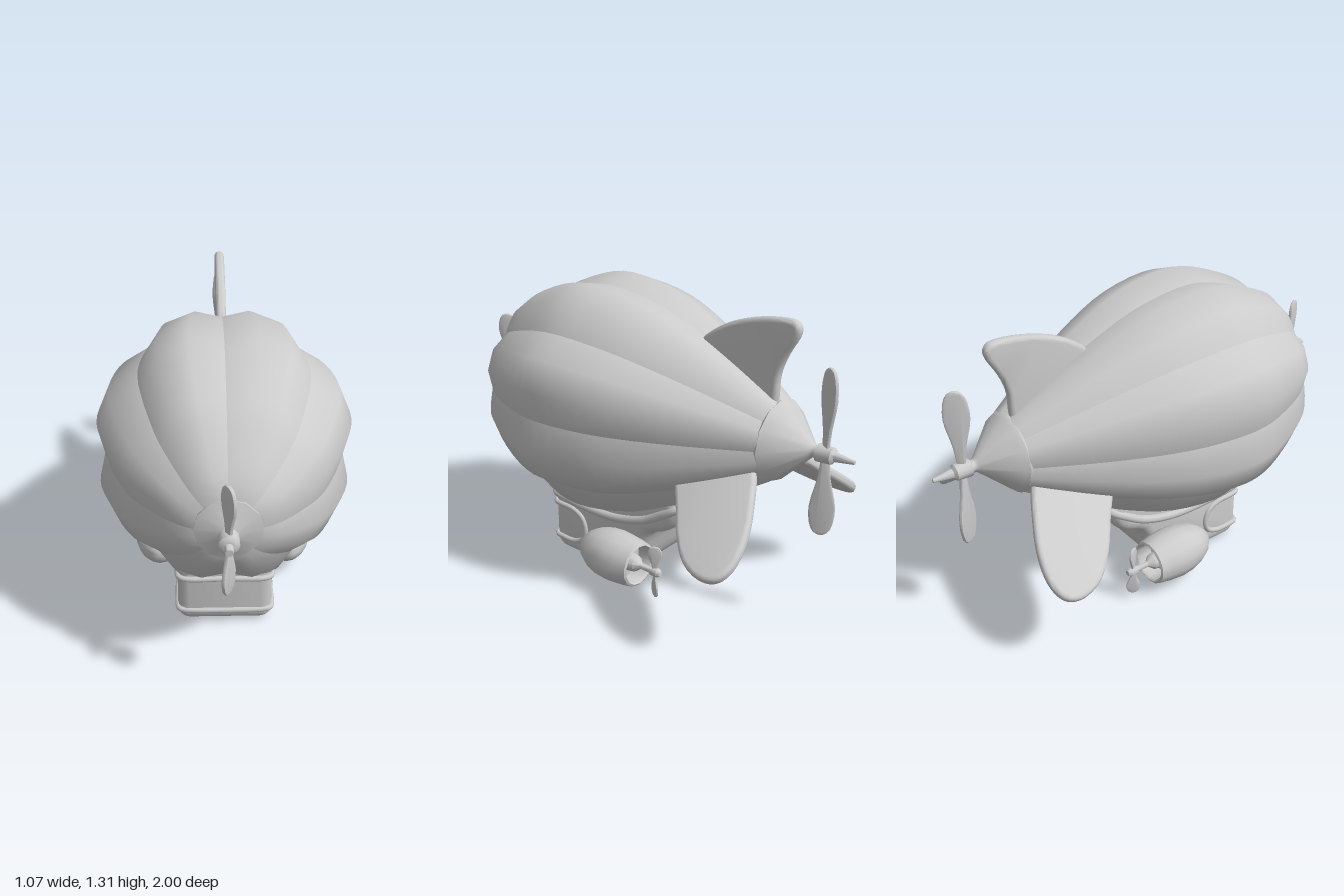
import * as THREE from 'three';
import { toCreasedNormals } from 'three/addons/utils/BufferGeometryUtils.js';

const AXIS_Y = 0.785;
const V2 = (a) => a.map(([x, y]) => new THREE.Vector2(x, y));
const V3 = (a) => a.map(([x, y, z]) => new THREE.Vector3(x, y, z));

export function createModel() {
  const model = new THREE.Group();
  model.name = 'airship';
  const grey = new THREE.MeshStandardMaterial({ color: 0xcccccc });

  const add = (name, geometry, parent = model) => {
    const mesh = new THREE.Mesh(geometry, grey);
    mesh.name = name;
    parent.add(mesh);
    return mesh;
  };

  // Turned part along z; points are [radius, z] with z increasing on outer faces
  const turned = (points, sides = 12) =>
    toCreasedNormals(new THREE.LatheGeometry(V2(points), sides).rotateX(Math.PI / 2), 0.75);

  // Outline in the (z, y) plane given a thickness along x with rounded edges
  const slab = (shape, thickness, bevel, segments = 3) => {
    const g = new THREE.ExtrudeGeometry(shape, {
      depth: thickness - 2 * bevel, bevelEnabled: true, bevelThickness: bevel,
      bevelSize: bevel, bevelOffset: -bevel, bevelSegments: segments, curveSegments: 8, steps: 1,
    });
    g.translate(0, 0, -(thickness / 2 - bevel)).rotateY(-Math.PI / 2);
    return toCreasedNormals(g, 0.7);
  };

  // Envelope: eight puffed gores, each its own surface so the seams stay sharp
  const profile = new THREE.SplineCurve(V2([
    [0.86, 0.06], [0.845, 0.14], [0.8, 0.225], [0.7, 0.335], [0.6, 0.41], [0.4, 0.495], [0.23, 0.522],
    [0, 0.488], [-0.2, 0.415], [-0.4, 0.315], [-0.6, 0.2], [-0.68, 0.15],
  ])).getPoints(33);
  const goreGeometry = () => {
    const pos = [], index = [], bulge = [0.938, 1.035, 1.035, 0.938], n = bulge.length;
    profile.forEach((p, i) => {
      for (let j = 0; j < n; j++) {
        const a = (j / (n - 1)) * Math.PI / 4, r = p.y * bulge[j];
        pos.push(r * Math.cos(a), r * Math.sin(a), p.x);
        if (i && j) {
          const d = i * n + j, c = d - 1, b = d - n, e = b - 1;
          index.push(e, c, b, b, c, d);
        }
      }
    });
    // Wind the triangles so they face away from the axis
    for (let k = 0; k < index.length; k += 3) [index[k + 1], index[k + 2]] = [index[k + 2], index[k + 1]];
    const g = new THREE.BufferGeometry();
    g.setAttribute('position', new THREE.Float32BufferAttribute(pos, 3));
    g.setIndex(index);
    // Rows run towards -z, so check one face and flip if it points inwards
    const [A, B, C] = [0, 1, 2].map((k) => new THREE.Vector3().fromArray(pos, index[180 + k] * 3));
    const normal = B.clone().sub(A).cross(C.clone().sub(A));
    if (normal.x * A.x + normal.y * A.y < 0) g.setIndex(index.reverse());
    g.computeVertexNormals();
    return g;
  };
  const envelope = new THREE.Group();
  envelope.name = 'envelope';
  envelope.position.y = AXIS_Y;
  model.add(envelope);
  const gore = goreGeometry();
  for (let k = 0; k < 8; k++) add('gore', gore, envelope).rotation.z = k * Math.PI / 4;

  // Nose and tail caps with their hubs
  add('noseCap', turned([
    [0, 0.83], [0.13, 0.842], [0.13, 0.855], [0.04, 0.885], [0.028, 0.89], [0.028, 0.9], [0.04, 0.903],
    [0.04, 0.955], [0.03, 0.965], [0.018, 0.967], [0.015, 1], [0, 1],
  ])).position.y = AXIS_Y;
  add('tailCap', turned([
    [0, -1], [0.008, -1], [0.02, -0.915], [0.034, -0.905], [0.038, -0.84], [0.026, -0.835], [0.026, -0.82],
    [0.035, -0.81], [0.165, -0.678], [0.175, -0.66], [0.165, -0.645], [0, -0.64],
  ])).position.y = AXIS_Y;

  // Propeller: two pitched, paddle-shaped blades
  const propeller = (name, radius, width, x, y, z, pitch) => {
    const group = new THREE.Group();
    group.name = name;
    group.position.set(x, y, z);
    const w = width / 2;
    const outline = new THREE.SplineCurve(V2([
      [-w * 0.3, 0], [-w * 0.5, 0.3 * radius], [-w, 0.65 * radius], [-w * 0.75, 0.92 * radius], [0, radius],
      [w * 0.75, 0.92 * radius], [w, 0.65 * radius], [w * 0.5, 0.3 * radius], [w * 0.3, 0],
    ])).getPoints(24);
    const blade = slab(new THREE.Shape(outline), width * 0.17, width * 0.07, 2).rotateY(pitch);
    for (const turn of [0, Math.PI]) add('blade', blade, group).rotation.z = turn;
    model.add(group);
  };
  propeller('frontPropeller', 0.235, 0.095, 0, AXIS_Y, 0.927, 0.5);
  propeller('rearPropeller', 0.355, 0.105, 0, AXIS_Y, -0.872, -0.5);

  // Tail fins: outlines are [z, distance from the axis]
  const fin = (name, points, angle) => {
    const shape = new THREE.Shape(new THREE.SplineCurve(V2(points)).getPoints(36));
    const mesh = add(name, slab(shape, 0.044, 0.018));
    mesh.position.y = AXIS_Y;
    mesh.rotation.z = angle;
  };
  fin('topFin', [
    [-0.25, 0.3], [-0.28, 0.365], [-0.4, 0.445], [-0.55, 0.495], [-0.68, 0.511], [-0.725, 0.495],
    [-0.73, 0.45], [-0.68, 0.36], [-0.648, 0.27], [-0.64, 0.15], [-0.6, 0.1],
  ], 0);
  for (const side of [1, -1]) {
    fin('lowerFin', [
      [-0.29, 0.24], [-0.33, 0.32], [-0.4, 0.42], [-0.48, 0.54], [-0.57, 0.63], [-0.67, 0.665], [-0.745, 0.64],
      [-0.775, 0.55], [-0.755, 0.42], [-0.7, 0.28], [-0.645, 0.17], [-0.58, 0.1],
    ], -side * THREE.MathUtils.degToRad(127));
  }

  // Gondola hull with an upswept stern
  const hull = new THREE.Shape();
  hull.moveTo(0.445, 0.36);
  hull.lineTo(0.445, 0.07);
  hull.quadraticCurveTo(0.445, 0, 0.37, 0);
  hull.lineTo(0.05, 0);
  hull.bezierCurveTo(-0.1, 0, -0.06, 0.24, -0.16, 0.265);
  hull.bezierCurveTo(-0.25, 0.29, -0.28, 0.34, -0.305, 0.44);
  hull.lineTo(-0.2, 0.5);
  hull.lineTo(0.1, 0.38);
  add('gondola', slab(hull, 0.41, 0.05, 4));

  // Raised mouldings: the rim under the envelope and the wraparound window frame
  const moulding = (name, half, radius) => {
    const left = half.filter(([x]) => x > 0).reverse().map(([x, y, z]) => [-x, y, z]);
    const curve = new THREE.CatmullRomCurve3(V3([...half, ...left]), true, 'centripetal');
    add(name, new THREE.TubeGeometry(curve, 120, radius, 8, true));
  };
  moulding('gondolaRim', [
    [0, 0.29, 0.445], [0.165, 0.29, 0.445], [0.195, 0.29, 0.43], [0.205, 0.288, 0.39], [0.205, 0.275, 0.25],
    [0.205, 0.28, 0.05], [0.205, 0.325, -0.12], [0.2, 0.395, -0.24], [0.185, 0.42, -0.28], [0.15, 0.43, -0.3],
    [0, 0.43, -0.305],
  ], 0.02);
  moulding('windowFrame', [
    [0, 0.24, 0.445], [0.165, 0.24, 0.445], [0.197, 0.24, 0.43], [0.205, 0.24, 0.39], [0.205, 0.235, 0.31],
    [0.205, 0.205, 0.255], [0.205, 0.15, 0.238], [0.205, 0.098, 0.255], [0.205, 0.07, 0.31], [0.205, 0.068, 0.39],
    [0.197, 0.068, 0.43], [0.165, 0.068, 0.44], [0, 0.068, 0.445],
  ], 0.013);

  // Engine pods: hollow at the back, with shaft, propeller and strut
  const pod = turned([
    [0, -0.09], [0.082, -0.09], [0.084, -0.16], [0.09, -0.167], [0.1, -0.162], [0.11, -0.11], [0.117, -0.04],
    [0.112, 0.02], [0.096, 0.08], [0.07, 0.125], [0.036, 0.156], [0, 0.166],
  ], 14);
  const shaft = turned([
    [0, -0.285], [0.012, -0.283], [0.02, -0.27], [0.02, -0.235], [0.013, -0.23], [0.013, -0.175],
    [0.035, -0.15], [0.045, -0.09], [0, -0.08],
  ], 10);
  for (const side of [1, -1]) {
    const x = side * 0.293, y = 0.155;
    add('enginePod', pod).position.set(x, y, 0);
    add('engineShaft', shaft).position.set(x, y, 0);
    propeller('enginePropeller', 0.122, 0.062, x, y, -0.252, 0.5);
    const strut = add('engineStrut', new THREE.CylinderGeometry(0.03, 0.03, 0.1, 10).rotateZ(Math.PI / 2));
    strut.position.set(side * 0.2, y, 0.02);
  }

  return model;
}
